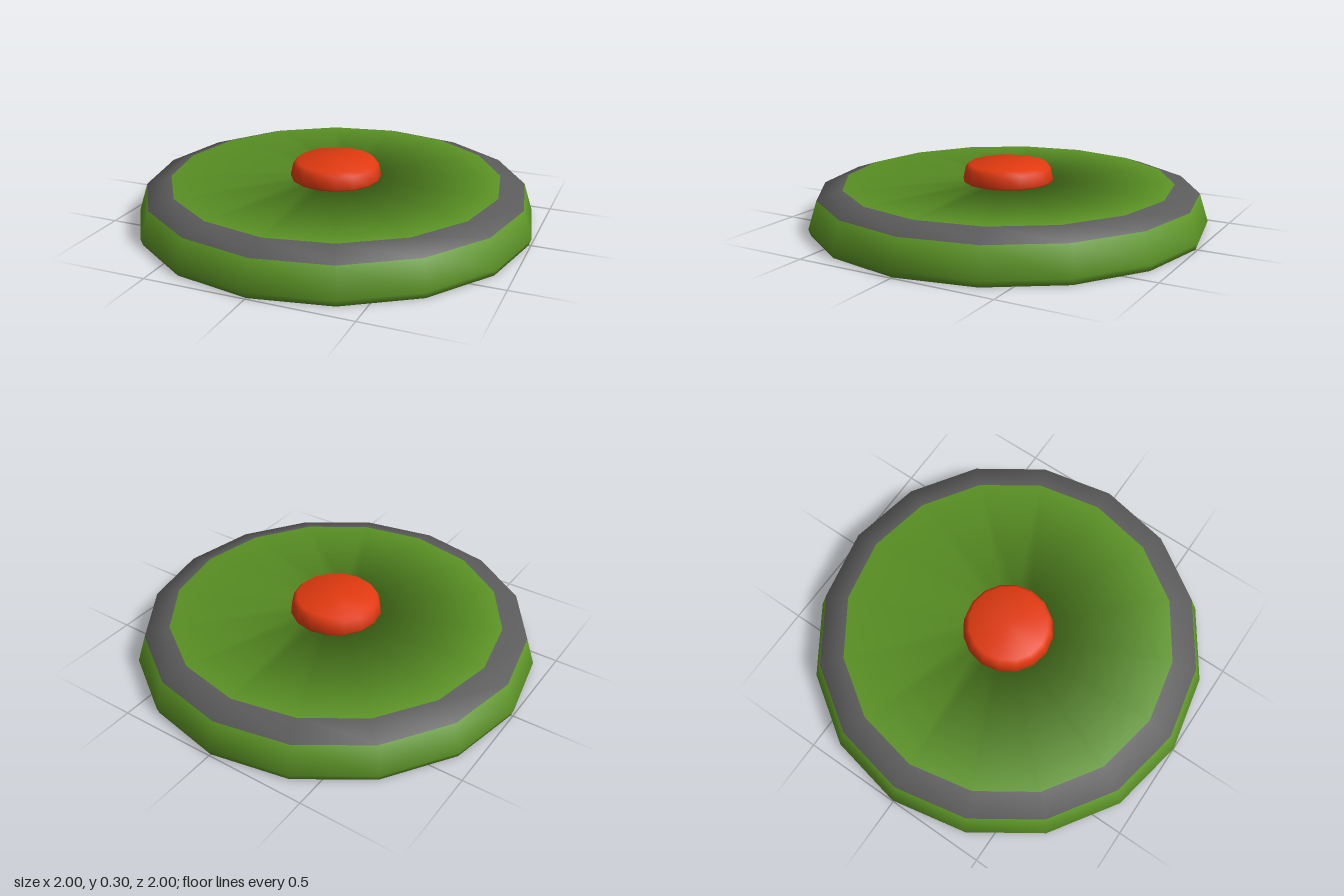
import * as THREE from 'three';

const SIDES = 16;

function material(name, color) {
  const m = new THREE.MeshStandardMaterial({ color });
  m.name = name;
  return m;
}

// Smooth normal at each profile point: the mean direction of the two edges that meet there
function profileNormals(points) {
  const edges = points.slice(1).map((p, i) => {
    const d = p.clone().sub(points[i]).normalize();
    return new THREE.Vector2(d.y, -d.x);
  });
  return points.map((p, i) => {
    const before = edges[Math.max(i - 1, 0)];
    const after = edges[Math.min(i, edges.length - 1)];
    return before.clone().add(after).normalize();
  });
}

// Turns a [radius, height] profile into one mesh per band; shading runs on smoothly across bands.
// Each band is [name, first point, last point, material].
function turned(name, profile, bands) {
  const group = new THREE.Group();
  group.name = name;
  const points = profile.map(([r, y]) => new THREE.Vector2(r, y));
  const normals = profileNormals(points);
  for (const [bandName, first, last, mat] of bands) {
    const geometry = new THREE.LatheGeometry(points.slice(first, last + 1), SIDES);
    const count = last - first + 1;
    for (let i = 0; i <= SIDES; i++) {
      const angle = (i / SIDES) * Math.PI * 2;
      for (let j = 0; j < count; j++) {
        const n = normals[first + j];
        geometry.attributes.normal.setXYZ(i * count + j, n.x * Math.sin(angle), n.y, n.x * Math.cos(angle));
      }
    }
    const mesh = new THREE.Mesh(geometry, mat);
    mesh.name = bandName;
    group.add(mesh);
  }
  return group;
}

export function createModel() {
  const green = material('green casing', 0x5c9425);
  const grey = material('grey band', 0x5c5c5c);
  const red = material('red button', 0xe23a10);

  const model = new THREE.Group();
  model.name = 'pressurePlate';

  // Flat casing with leaning walls, a sloping rim and a folded lip hidden under the button
  const casing = [[0, 0], [0.99, 0], [1, 0.03], [0.955, 0.17], [0.83, 0.212], [0.2, 0.212], [0.3, 0.205]];
  model.add(turned('casing', casing, [
    ['baseAndWall', 0, 3, green],
    ['rimBand', 3, 4, grey],
    ['topPlate', 4, 6, green],
  ]));

  // Button with a bevelled top, resting on the plate
  const button = [[0, 0.21], [0.222, 0.21], [0.228, 0.22], [0.215, 0.28], [0.195, 0.3], [0, 0.3]];
  model.add(turned('button', button, [['buttonCap', 0, 5, red]]));
  return model;
}
